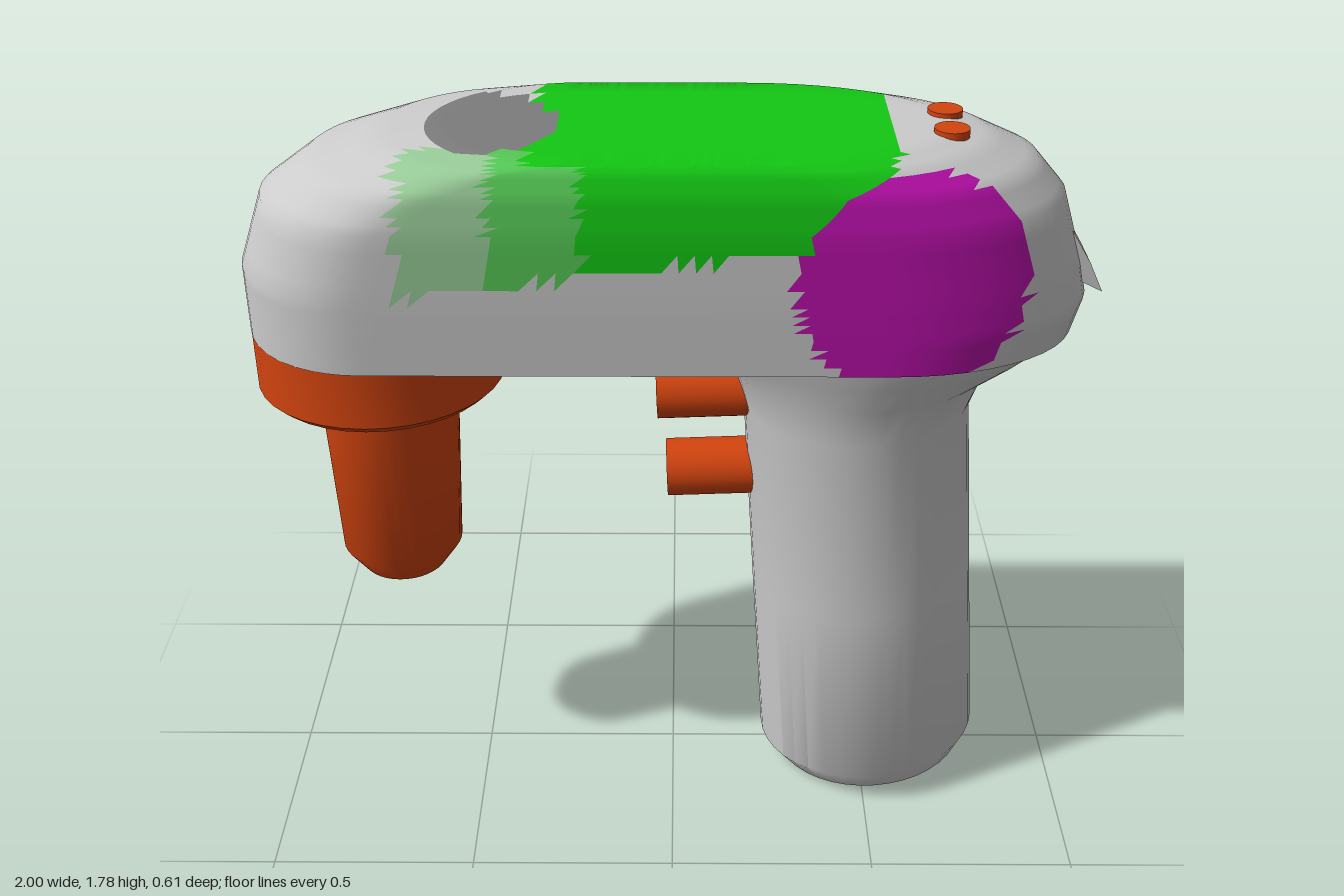
import * as THREE from 'three';
import { toCreasedNormals } from 'three/addons/utils/BufferGeometryUtils.js';

const GREY = 0xcccccc, ORANGE = 0xd2440f;

const mesh = (name, geometry, color = GREY) => {
  const m = new THREE.Mesh(geometry, new THREE.MeshStandardMaterial({ color }));
  m.name = name;
  return m;
};

// Joins closed rings of points, listed from bottom to top, into a skin
function loft(rings, crease) {
  const n = rings[0].length, index = [];
  for (let j = 0; j < rings.length - 1; j++) {
    for (let i = 0; i < n; i++) {
      const a = j * n + i, b = j * n + (i + 1) % n;
      index.push(a, b, b + n, a, b + n, a + n);
    }
  }
  const g = new THREE.BufferGeometry().setFromPoints(rings.flat());
  g.setIndex(index);
  return toCreasedNormals(g, crease);
}

// Plan outline of the body: round nose, straight flanks, longer round tail
function bodyRing([y, xl, xr, hw]) {
  const E = 12, S = 30, nose = xl + 0.3, tail = xr - 0.45, front = [];
  for (let i = 0; i < E; i++) {
    const t = (i / E) * Math.PI / 2;
    front.push([nose - 0.3 * Math.cos(t), Math.sin(t)]);
  }
  for (let i = 0; i < S; i++) front.push([nose + (tail - nose) * i / S, 1]);
  for (let i = 0; i <= E; i++) {
    const t = (i / E) * Math.PI / 2;
    front.push([tail + 0.45 * Math.sin(t), Math.cos(t)]);
  }
  const back = front.slice(1, -1).reverse().map(([x, z]) => [x, -z]);
  return [...front, ...back].map(([x, z]) => new THREE.Vector3(x, y, z * hw));
}

// Colour zones of the body shell
function zone(x, y, z) {
  const top = y > 1.772;
  if (z > 0.1 && ((x - 0.53) / 0.26) ** 2 + ((y - 1.5) / 0.25) ** 2 < 1) return 'magentaPatch';
  if (top && Math.hypot(x + 0.46, z) < 0.2) return 'darkPatch';
  const flank = z > 0.15 && y > 1.56 + 0.13 * x;
  if ((top && x > -0.32 && x < 0.5) || (flank && x > -0.2 && x < 0.48)) return 'greenPanel';
  if (flank && x > -0.4 && x <= -0.2) return 'greenFade';
  if (flank && x > -0.6 && x <= -0.4) return 'paleGreenFade';
  return 'bodyShell';
}

const ZONE_COLORS = {
  bodyShell: GREY, greenPanel: 0x14c814, greenFade: 0x55c955,
  paleGreenFade: 0x98cb98, magentaPatch: 0xbb10ac, darkPatch: 0x7c7c7c,
};

function createBody() {
  // height, nose x, tail x, half width; zero width closes bottom and top
  const levels = [
    [1.29, -1, 0.94, 0], [1.29, -1, 0.94, 0.3], [1.38, -1, 0.963, 0.303],
    [1.46, -1, 0.945, 0.305], [1.63, -0.94, 0.89, 0.305], [1.71, -0.83, 0.82, 0.295],
    [1.76, -0.67, 0.71, 0.277], [1.777, -0.52, 0.62, 0.262], [1.777, -0.52, 0.62, 0],
  ];
  const rings = [], STEPS = 4;
  levels.forEach((level, j) => {
    if (j === 0) return rings.push(bodyRing(level));
    for (let s = 1; s <= STEPS; s++) {
      rings.push(bodyRing(level.map((v, k) => THREE.MathUtils.lerp(levels[j - 1][k], v, s / STEPS))));
    }
  });
  const skin = loft(rings, 0.9);

  // Sort the triangles into one mesh per colour zone
  const p = skin.attributes.position, nrm = skin.attributes.normal, parts = {};
  const tri = new THREE.Triangle(), mid = new THREE.Vector3();
  for (let i = 0; i < p.count; i += 3) {
    tri.setFromAttributeAndIndices(p, i, i + 1, i + 2);
    if (tri.getArea() < 1e-9) continue;
    tri.getMidpoint(mid);
    const part = (parts[zone(mid.x, mid.y, mid.z)] ??= { pos: [], nor: [] });
    for (let k = i; k < i + 3; k++) {
      part.pos.push(p.getX(k), p.getY(k), p.getZ(k));
      part.nor.push(nrm.getX(k), nrm.getY(k), nrm.getZ(k));
    }
  }
  const body = new THREE.Group();
  body.name = 'body';
  for (const [name, { pos, nor }] of Object.entries(parts)) {
    const g = new THREE.BufferGeometry();
    g.setAttribute('position', new THREE.Float32BufferAttribute(pos, 3));
    g.setAttribute('normal', new THREE.Float32BufferAttribute(nor, 3));
    body.add(mesh(name, g, ZONE_COLORS[name]));
  }
  return body;
}

function createHandle() {
  // left x, left y, right x, right y, half depth
  const sections = [
    [0.285, 0.01, 0.78, 0.06, 0], [0.285, 0.01, 0.78, 0.06, 0.235],
    [0.24, 0.065, 0.805, 0.125, 0.27], [0.205, 0.57, 0.76, 0.62, 0.262],
    [0.172, 1.07, 0.718, 1.09, 0.25], [0.145, 1.17, 0.75, 1.18, 0.262],
    [0.1, 1.24, 0.85, 1.24, 0.283], [0.05, 1.3, 0.935, 1.3, 0.298],
  ];
  const rings = sections.map(([xl, yl, xr, yr, d]) => Array.from({ length: 40 }, (_, i) => {
    const t = (i / 40) * Math.PI * 2, f = (1 + Math.cos(t)) / 2;
    return new THREE.Vector3(xl + (xr - xl) * f, yl + (yr - yl) * f, -d * Math.sin(t));
  }));
  return mesh('handle', loft(rings, 0.6), GREY);
}

const turned = (points) => toCreasedNormals(
  new THREE.LatheGeometry(points.map(([r, y]) => new THREE.Vector2(r, y)), 36), 0.6);

export function createModel() {
  const model = new THREE.Group();
  model.name = 'handheldTool';
  model.add(createBody(), createHandle());

  // Nozzle under the nose
  const collar = mesh('collar', turned([[0, 1.13], [0.275, 1.13], [0.296, 1.15], [0.296, 1.295], [0, 1.295]]), ORANGE);
  collar.position.x = -0.704;
  const nozzle = mesh('nozzle', turned([[0, 0.6], [0.105, 0.6], [0.15, 0.665], [0.17, 1.14]]), ORANGE);
  nozzle.position.x = -0.692;
  model.add(collar, nozzle);

  // Two trigger buttons on the front of the handle
  [[0.09, 1.1], [0.115, 0.878]].forEach(([x, y], i) => {
    const trigger = mesh(i ? 'lowerTrigger' : 'upperTrigger', new THREE.CylinderGeometry(0.072, 0.072, 0.26, 28), ORANGE);
    trigger.rotation.z = Math.PI / 2 + 0.04;
    trigger.position.set(x, y, 0);
    model.add(trigger);
  });

  // Small round buttons on top
  for (const side of [-1, 1]) {
    const button = mesh(side > 0 ? 'frontTopButton' : 'backTopButton', new THREE.CylinderGeometry(0.04, 0.04, 0.06, 24), ORANGE);
    button.position.set(0.615, 1.757, side * 0.062);
    model.add(button);
  }

  // Hooked clip at the tail
  const profile = [[0.91, 1.54], [0.86, 1.47], [0.94, 1.415], [0.995, 1.388], [0.96, 1.46]];
  const hook = new THREE.Shape(profile.map(([x, y]) => new THREE.Vector2(x, y)));
  const clip = mesh('tailClip', new THREE.ExtrudeGeometry(hook, { depth: 0.12, bevelEnabled: false }));
  clip.position.z = -0.06;
  model.add(clip);
  return model;
}
